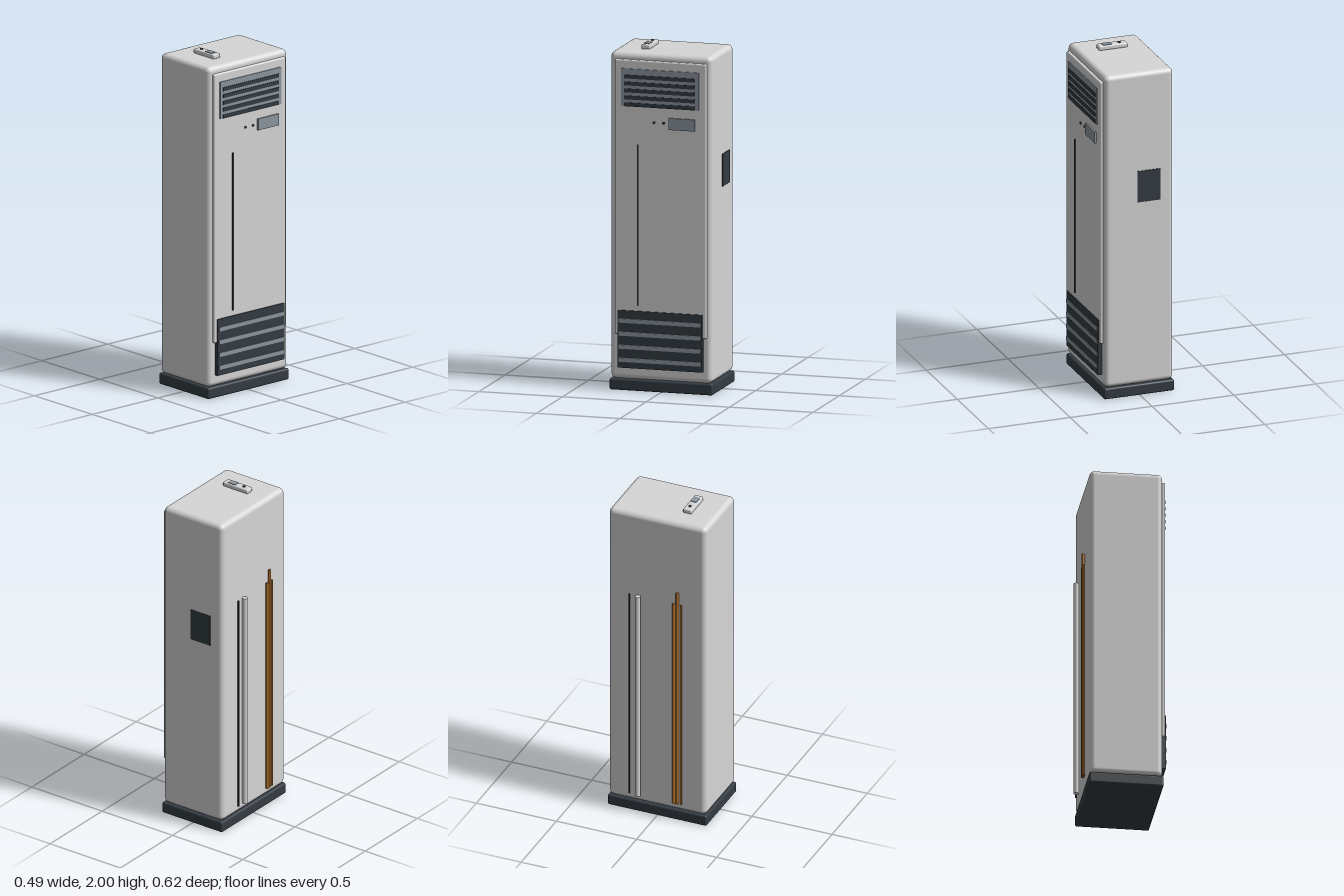
import * as THREE from 'three';
import { RoundedBoxGeometry } from 'three/addons/geometries/RoundedBoxGeometry.js';

export function createModel() {
  const model = new THREE.Group();
  model.name = 'floorAirConditioner';

  const material = (name, color) => {
    const m = new THREE.MeshStandardMaterial({ color });
    m.name = name;
    return m;
  };
  const shell = material('shellGrey', 0xd6d6d6);
  const slate = material('slateGrey', 0x8c979f);
  const dark = material('darkGrey', 0x343c43);
  const black = material('black', 0x22272b);
  const copper = material('copper', 0xb0702f);

  const add = (name, geometry, mat, parent = model) => {
    const mesh = new THREE.Mesh(geometry, mat);
    mesh.name = name;
    parent.add(mesh);
    return mesh;
  };
  const group = (name) => {
    const g = new THREE.Group();
    g.name = name;
    model.add(g);
    return g;
  };
  // Box given by its limits on each axis, rounded when a radius is set
  const box = (name, [x0, x1], [y0, y1], [z0, z1], mat, parent, radius = 0) => {
    const size = [x1 - x0, y1 - y0, z1 - z0];
    const geometry = radius
      ? new RoundedBoxGeometry(...size, 4, radius)
      : new THREE.BoxGeometry(...size);
    const mesh = add(name, geometry, mat, parent);
    mesh.position.set((x0 + x1) / 2, (y0 + y1) / 2, (z0 + z1) / 2);
    return mesh;
  };

  // Cabinet, plinth and door panel
  box('plinth', [-0.21, 0.218], [0, 0.066], [-0.309, 0.308], dark, model, 0.01);
  box('cabinet', [-0.207, 0.213], [0.066, 1.97], [-0.304, 0.304], shell, model, 0.03);
  box('doorPanel', [0.2, 0.23], [0.33, 1.93], [-0.275, 0.273], shell, model, 0.008);
  box('doorGroove', [0.226, 0.234], [0.5, 1.44], [0.128, 0.138], black);

  // Air outlet: plate with dark slots between slats
  const outlet = group('airOutlet');
  box('outletPlate', [0.225, 0.236], [1.66, 1.88], [-0.232, 0.232], slate, outlet);
  for (let i = 0; i < 5; i++) {
    const y = 1.834 - i * 0.0405;
    box('outletSlot', [0.23, 0.24], [y - 0.011, y + 0.011], [-0.212, 0.212], dark, outlet);
  }

  // Air intake: dark plate with four slats
  const intake = group('airIntake');
  box('intakePlate', [0.205, 0.237], [0.135, 0.47], [-0.254, 0.254], dark, intake);
  for (let i = 0; i < 4; i++) {
    const y = 0.41 - i * 0.076;
    box('intakeSlat', [0.232, 0.242], [y - 0.012, y + 0.012], [-0.246, 0.246], slate, intake);
  }

  // Display and indicator buttons on the door
  box('doorDisplay', [0.228, 0.24], [1.538, 1.606], [-0.21, -0.053], slate);
  for (const z of [0.037, -0.021]) {
    const button = add('doorButton', new THREE.CylinderGeometry(0.008, 0.008, 0.01, 20), dark);
    button.rotation.z = Math.PI / 2;
    button.position.set(0.23, 1.573, z);
  }

  // Control pad on the lid
  const pad = group('controlPad');
  box('padBody', [-0.083, 0.092], [1.968, 1.996], [0.105, 0.158], shell, pad, 0.008);
  box('padDisplay', [0.01, 0.064], [1.992, 1.999], [0.114, 0.149], slate, pad);
  const knob = add('padKnob', new THREE.CylinderGeometry(0.009, 0.009, 0.01, 24), dark, pad);
  knob.position.set(-0.04, 1.995, 0.131);

  // Rear service plate
  box('servicePlate', [-0.125, 0.015], [1.18, 1.37], [-0.308, -0.3], dark);

  // Pipes and cable along the side: x, z, radius, top
  const pipes = group('sidePipes');
  for (const [name, x, z, r, top, mat] of [
    ['refrigerantPipe', -0.222, 0.11, 0.009, 1.44, copper],
    ['refrigerantPipe', -0.222, 0.132, 0.009, 1.515, copper],
    ['refrigerantPipe', -0.222, 0.154, 0.006, 1.44, copper],
    ['drainPipe', -0.228, -0.112, 0.016, 1.44, shell],
    ['powerCable', -0.222, -0.167, 0.005, 1.44, black],
  ]) {
    const bottom = 0.117;
    const pipe = add(name, new THREE.CylinderGeometry(r, r, top - bottom, 24), mat, pipes);
    pipe.position.set(x, (top + bottom) / 2, z);
  }

  return model;
}
